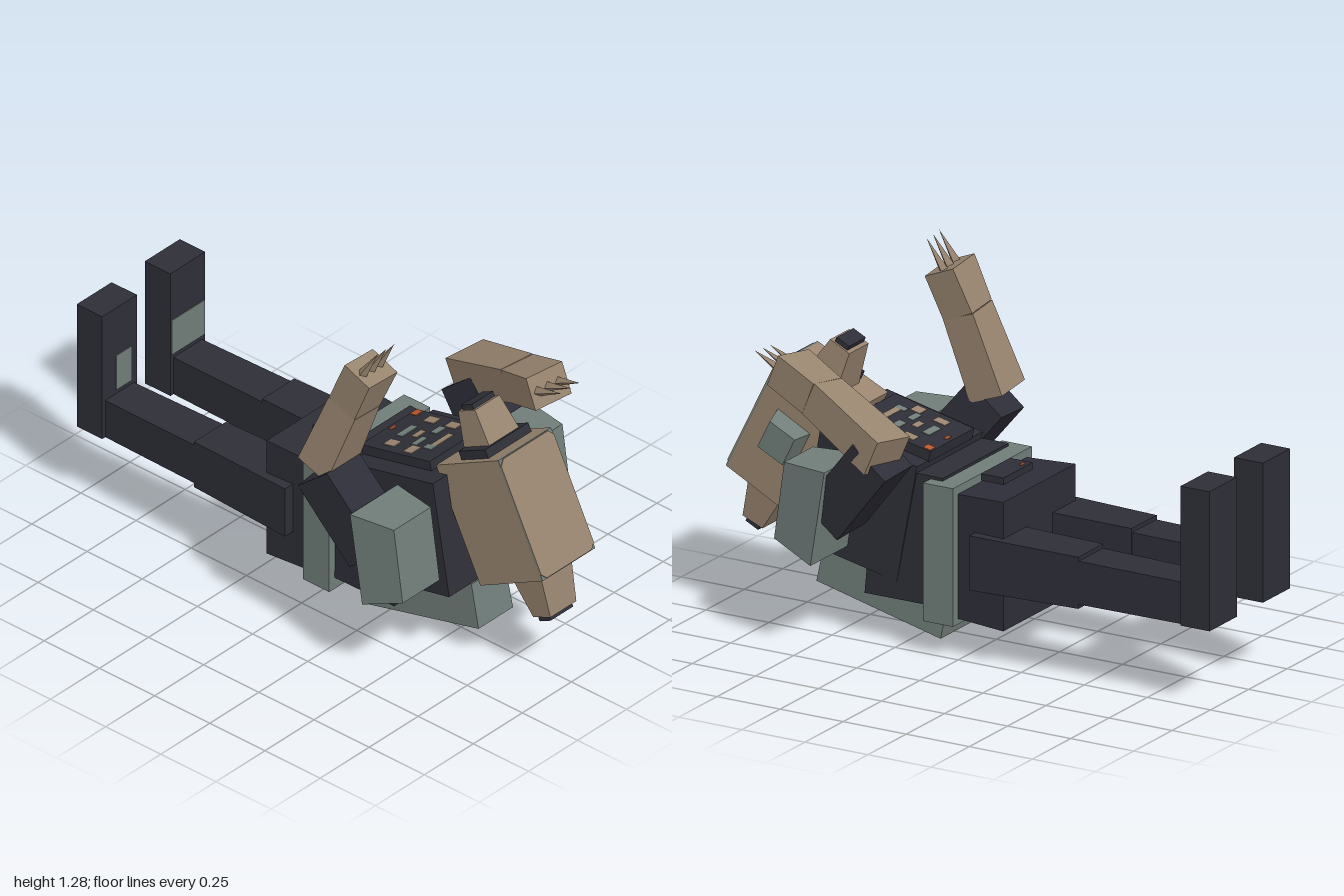
import * as THREE from 'three';

const CX = -0.008; // body centre line

export function createModel() {
  const model = new THREE.Group();
  model.name = 'crawlingFigure';
  const paint = (name, color) => {
    const m = new THREE.MeshStandardMaterial({ color });
    m.name = name;
    return m;
  };
  const brown = paint('brown', 0x98846f);
  const teal = paint('greyTeal', 0x707d79);
  const dark = paint('darkNavy', 0x2e2e38);
  const orange = paint('orange', 0xb5592f);

  const add = (name, geo, mat, parent = model) => {
    const mesh = new THREE.Mesh(geo, mat);
    mesh.name = name;
    parent.add(mesh);
    return mesh;
  };
  const box = (name, mat, size, pos, parent = model) => {
    const mesh = add(name, new THREE.BoxGeometry(...size), mat, parent);
    mesh.position.set(...pos);
    return mesh;
  };

  // Six-sided block: side profile [z, y, halfWidth] from bottom front, bottom back, top back, top front
  const block = (name, mat, cx, profile, parent = model) => {
    const L = profile.map(([z, y, w]) => [cx - w, y, z]);
    const R = profile.map(([z, y, w]) => [cx + w, y, z]);
    const verts = [];
    const quad = (a, b, c, d) => verts.push(...a, ...b, ...c, ...a, ...c, ...d);
    quad(R[0], R[1], R[2], R[3]);
    quad(L[3], L[2], L[1], L[0]);
    for (let i = 0; i < 4; i++) {
      const j = (i + 1) % 4;
      quad(R[i], L[i], L[j], R[j]);
    }
    const g = new THREE.BufferGeometry();
    g.setAttribute('position', new THREE.Float32BufferAttribute(verts, 3));
    g.computeVertexNormals();
    return add(name, g, mat, parent);
  };

  // Tapered square limb running from one point to another
  const limb = (name, mat, from, to, [w0, d0], [w1, d1], parent = model) => {
    const a = new THREE.Vector3(...from), b = new THREE.Vector3(...to);
    const dir = b.clone().sub(a), len = dir.length();
    dir.normalize();
    let g = new THREE.BoxGeometry(1, len, 1).toNonIndexed();
    const p = g.attributes.position;
    for (let i = 0; i < p.count; i++) {
      const top = p.getY(i) > 0;
      p.setX(i, p.getX(i) * (top ? w1 : w0));
      p.setZ(i, p.getZ(i) * (top ? d1 : d0));
    }
    g.computeVertexNormals();
    const side = new THREE.Vector3(1, 0, 0);
    side.addScaledVector(dir, -side.dot(dir)).normalize();
    const mesh = add(name, g, mat, parent);
    mesh.quaternion.setFromRotationMatrix(
      new THREE.Matrix4().makeBasis(side, dir, side.clone().cross(dir)));
    mesh.position.copy(a).add(b).multiplyScalar(0.5);
    return mesh;
  };

  // Torso
  block('chest', dark, CX, [[0.645, 0.3, 0.215], [0.27, 0.22, 0.215], [0.19, 0.645, 0.215], [0.57, 0.73, 0.215]]);
  block('abdomen', dark, CX - 0.005, [[0.4, 0.155, 0.215], [0.14, 0.16, 0.225], [0.09, 0.62, 0.215], [0.36, 0.62, 0.21]]);
  block('bellyPack', teal, CX, [[0.665, 0.115, 0.088], [0.165, 0, 0.101], [0.13, 0.165, 0.1], [0.63, 0.28, 0.085]]);
  box('belt', teal, [0.515, 0.495, 0.118], [CX, 0.362, 0.08]);
  block('pelvis', dark, CX, [[0.03, 0.135, 0.225], [-0.165, 0.125, 0.235], [-0.165, 0.587, 0.235], [0.03, 0.58, 0.225]]);
  box('buckle', dark, [0.19, 0.025, 0.09], [-0.01, 0.605, -0.035]);
  box('buckleLight', orange, [0.025, 0.004, 0.012], [-0.07, 0.618, -0.06]);

  // Patterned plate on the back
  const back = new THREE.Group();
  back.name = 'backPlate';
  back.position.set(CX, 0.695, 0.34);
  back.rotation.x = -0.22;
  model.add(back);
  box('plate', dark, [0.285, 0.04, 0.32], [0, 0, 0], back);
  const patches = [
    [brown, -0.09, -0.06, 0.04, 0.05], [brown, 0.1, -0.05, 0.04, 0.05], [brown, 0, -0.02, 0.05, 0.025],
    [brown, -0.1, 0.04, 0.05, 0.04], [brown, 0.1, 0.05, 0.04, 0.05], [brown, 0, 0.09, 0.09, 0.025],
    [teal, 0, -0.075, 0.08, 0.03], [teal, -0.04, 0.02, 0.06, 0.025], [teal, 0.05, 0.025, 0.05, 0.03],
    [teal, -0.06, 0.085, 0.03, 0.04], [orange, 0.12, -0.14, 0.035, 0.03], [orange, 0, -0.14, 0.03, 0.012],
  ];
  patches.forEach(([mat, x, z, w, d]) => box('patch', mat, [w, 0.004, d], [x, 0.021, z], back));

  // Head, pitched forward
  const head = new THREE.Group();
  head.name = 'head';
  head.position.set(CX, 0.616, 0.76);
  head.rotation.x = -0.463;
  model.add(head);
  block('skull', brown, 0, [[0.147, -0.225, 0.134], [-0.155, -0.225, 0.143], [-0.155, 0.225, 0.143], [0.147, 0.225, 0.134]], head);
  box('faceRim', teal, [0.268, 0.45, 0.006], [0, 0, 0.149], head);
  const face = new THREE.Shape();
  const fw = 0.134, fh = 0.222, fr = 0.02;
  face.moveTo(-fw + fr, -fh).lineTo(fw - fr, -fh).lineTo(fw, -fh + fr).lineTo(fw, fh - fr)
    .lineTo(fw - fr, fh).lineTo(-fw + fr, fh).lineTo(-fw, fh - fr).lineTo(-fw, -fh + fr);
  const facePlate = add('facePlate', new THREE.ExtrudeGeometry(face, { depth: 0.004, bevelEnabled: false }), brown, head);
  facePlate.position.z = 0.152;
  limb('jaw', brown, [0, -0.22, 0.01], [0, -0.385, 0], [0.158, 0.15], [0.132, 0.085], head);
  box('jawTip', dark, [0.115, 0.02, 0.055], [0, -0.393, 0], head);
  box('collar', dark, [0.22, 0.035, 0.135], [0, 0.24, 0.01], head);
  limb('crest', brown, [0, 0.22, 0], [0, 0.385, 0], [0.16, 0.14], [0.125, 0.085], head);
  box('crestTip', dark, [0.108, 0.02, 0.055], [0, 0.393, 0], head);
  // Side box on the left cheek only
  const cheek = limb('cheekBox', teal, [0.13, 0.01, 0], [0.203, 0.01, 0], [0.15, 0.15], [0.11, 0.11], head);
  cheek.rotation.set(0, 0, -Math.PI / 2);

  // Paired shoulders, upper arms and legs
  for (const s of [1, -1]) {
    const side = s > 0 ? 'left' : 'right';
    block(side + 'ShoulderPad', teal, CX + s * 0.336,
      [[0.625, 0.375, 0.094], [0.465, 0.312, 0.121], [0.41, 0.655, 0.121], [0.585, 0.655, 0.094]]);
    limb(side + 'UpperArm', dark, [CX + s * 0.34, 0.47, 0.44], [CX + s * 0.372, 0.725, 0.232], [0.17, 0.17], [0.165, 0.17]);

    const lx = CX + s * 0.174;
    limb(side + 'Thigh', dark, [lx + s * 0.003, 0.36, -0.05], [lx, 0.36, -0.475], [0.186, 0.195], [0.164, 0.185]);
    limb(side + 'Shin', dark, [lx, 0.36, -0.47], [lx, 0.358, -0.89], [0.16, 0.155], [0.146, 0.15]);
    box(side + 'Foot', dark, [0.178, 0.5, 0.115], [lx, 0.533, -0.9425]);
    box(side + 'FootPatch', teal, [s > 0 ? 0.17 : 0.08, 0.14, 0.004], [s > 0 ? lx : lx + 0.02, 0.52, -0.884]);
  }

  // Forearm, hand and three claws
  const forearm = (side, elbow, wrist, tip, clawDir) => {
    limb(side + 'Forearm', brown, elbow, wrist, [0.158, 0.135], [0.134, 0.125]);
    limb(side + 'Hand', brown, wrist, tip, [0.136, 0.122], [0.15, 0.12]);
    const end = new THREE.Vector3(...tip);
    const dir = new THREE.Vector3(...clawDir).normalize();
    const across = new THREE.Vector3(1, 0, 0).addScaledVector(dir, -dir.x).normalize();
    for (let i = -1; i <= 1; i++) {
      const claw = add(side + 'Claw', new THREE.ConeGeometry(0.021, 0.14, 4).toNonIndexed(), brown);
      claw.geometry.computeVertexNormals();
      claw.quaternion.setFromUnitVectors(new THREE.Vector3(0, 1, 0), dir);
      claw.position.copy(end).addScaledVector(across, i * 0.043).addScaledVector(dir, 0.05);
    }
  };
  forearm('right', [-0.372, 0.74, 0.222], [-0.347, 1.02, 0.325], [-0.333, 1.175, 0.388], [0.08, 0.85, 0.5]);
  forearm('left', [0.385, 0.735, 0.2], [0.3, 0.87, 0.51], [0.257, 0.932, 0.67], [-0.1, 0.38, 0.9]);

  return model;
}
